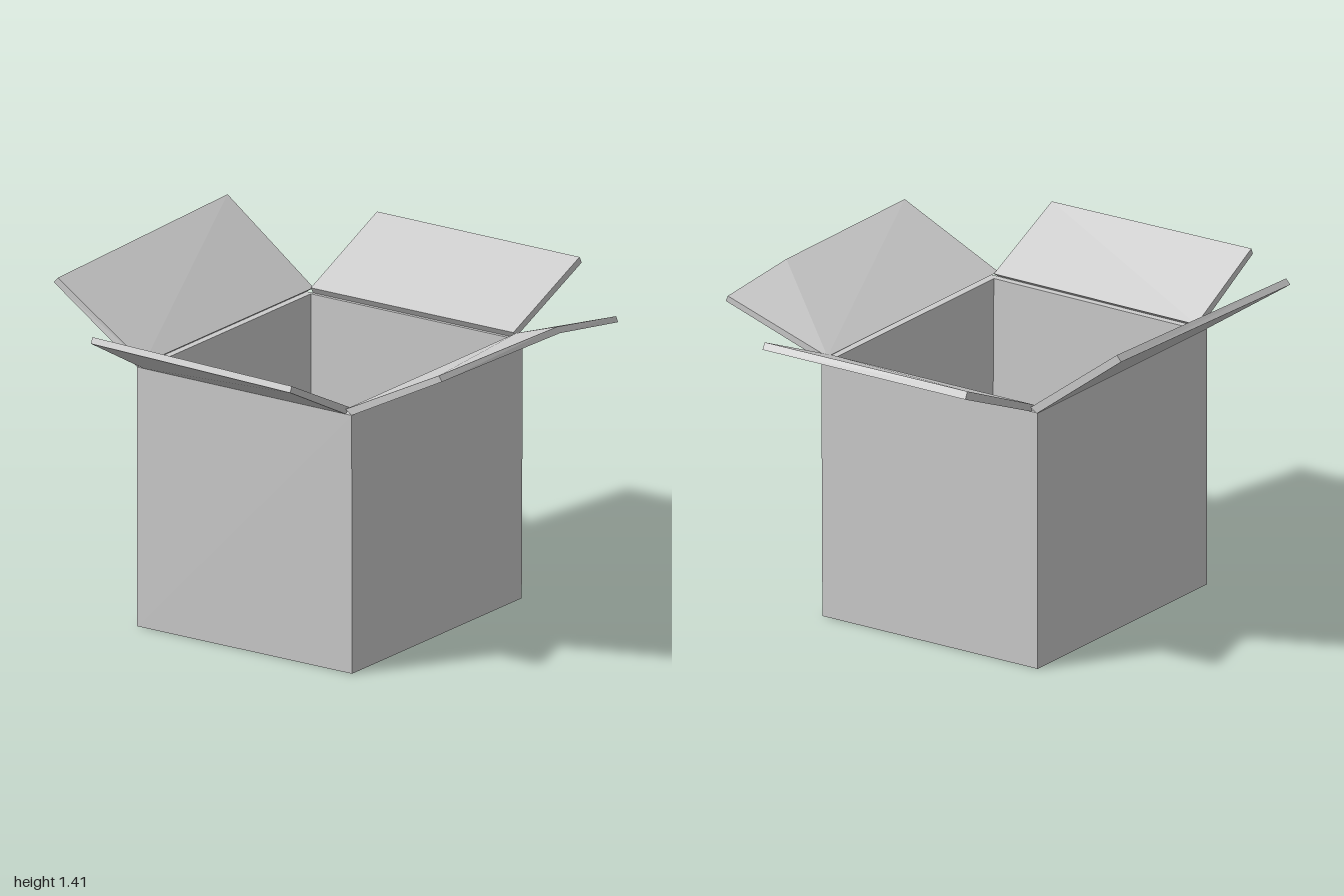
import * as THREE from 'three';

// Flat-shaded solid skinned through a stack of corner loops (counterclockwise from above), capped at both ends
function skin(name, material, rings) {
  const pos = [];
  const tri = (a, b, c) => pos.push(...a, ...b, ...c);
  const n = rings[0].length;
  for (let r = 0; r < rings.length - 1; r++) {
    for (let i = 0; i < n; i++) {
      const j = (i + 1) % n, lo = rings[r], hi = rings[r + 1];
      tri(lo[i], lo[j], hi[j]);
      tri(lo[i], hi[j], hi[i]);
    }
  }
  const first = rings[0], last = rings[rings.length - 1];
  for (let i = 1; i < n - 1; i++) {
    tri(first[0], first[i + 1], first[i]);
    tri(last[0], last[i], last[i + 1]);
  }
  const geometry = new THREE.BufferGeometry();
  geometry.setAttribute('position', new THREE.Float32BufferAttribute(pos, 3));
  geometry.computeVertexNormals();
  const mesh = new THREE.Mesh(geometry, material);
  mesh.name = name;
  return mesh;
}

// Rectangular loop at one height
const rect = (x0, x1, z0, z1, y) => [[x1, y, z1], [x1, y, z0], [x0, y, z0], [x0, y, z1]];

export function createModel() {
  const model = new THREE.Group();
  model.name = 'openBox';
  const card = new THREE.MeshStandardMaterial({ color: 0xcccccc });
  card.name = 'greyCard';

  // Hollow body: outer walls, rim, inner walls and floor
  const outerTop = rect(-0.55, 0.495, -0.545, 0.62, 1.08);
  outerTop[0][2] = 0.63;
  const innerTop = rect(-0.52, 0.465, -0.53, 0.59, 1.08);
  innerTop[0][2] = 0.6;
  model.add(skin('body', card, [
    rect(-0.55, 0.49, -0.545, 0.62, 0),
    outerTop,
    innerTop,
    rect(-0.52, 0.465, -0.53, 0.59, 0.03),
  ]));

  // Flaps: lower loop, then upper loop
  model.add(skin('frontFlap', card, [
    [[0.455, 1.265, 0.995], [0.465, 1.08, 0.63], [-0.52, 1.08, 0.62], [-0.52, 1.28, 0.98]],
    [[0.455, 1.29, 0.985], [0.465, 1.1, 0.6], [-0.52, 1.1, 0.59], [-0.52, 1.305, 0.97]],
  ]));
  model.add(skin('backFlap', card, [
    [[0.46, 1.08, -0.545], [0.46, 1.27, -1], [-0.52, 1.27, -1], [-0.52, 1.08, -0.545]],
    [[0.46, 1.105, -0.53], [0.46, 1.297, -0.985], [-0.52, 1.3, -0.985], [-0.52, 1.105, -0.53]],
  ]));
  model.add(skin('rightFlap', card, [
    [[-0.55, 1.08, 0.62], [-0.55, 1.08, -0.55], [-0.957, 1.385, -0.55], [-0.957, 1.355, 0.615]],
    [[-0.52, 1.1, 0.615], [-0.52, 1.1, -0.55], [-0.937, 1.41, -0.55], [-0.937, 1.377, 0.615]],
  ]));
  // Bent flap, creased from its rear hinge corner
  model.add(skin('leftFlap', card, [
    [[0.495, 1.08, -0.545], [0.495, 1.08, 0.63], [0.918, 1.295, 0.61], [0.925, 1.283, -0.19], [0.95, 1.235, -0.555]],
    [[0.465, 1.1, -0.545], [0.465, 1.1, 0.63], [0.903, 1.318, 0.61], [0.913, 1.308, -0.19], [0.94, 1.258, -0.555]],
  ]));
  return model;
}
